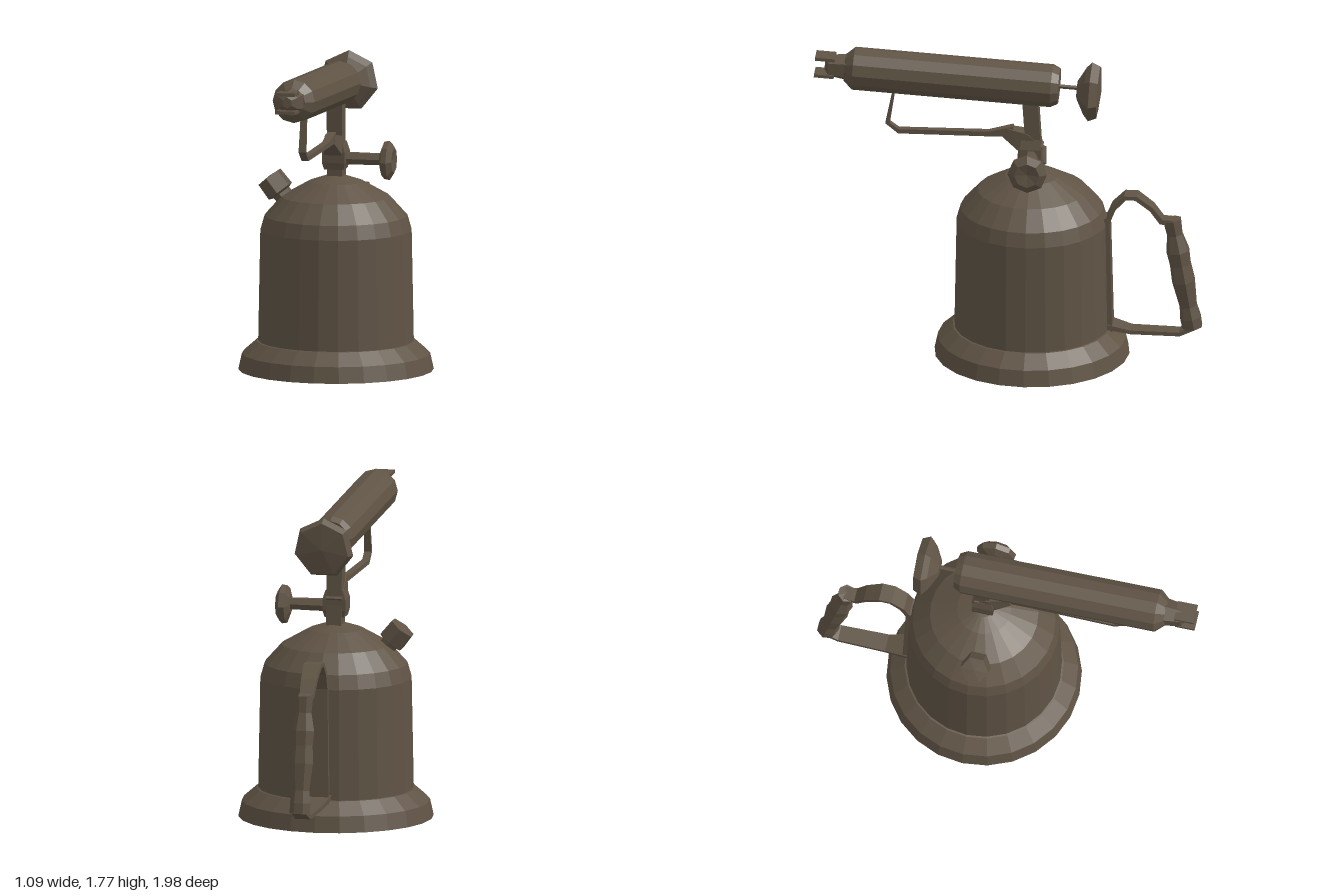
import * as THREE from 'three';

const agedBrass = new THREE.MeshStandardMaterial({ color: 0x5f5344 });
agedBrass.name = 'agedBrass';

// Mesh with one flat normal per face
function part(name, geometry) {
  const flat = geometry.index ? geometry.toNonIndexed() : geometry;
  flat.computeVertexNormals();
  const mesh = new THREE.Mesh(flat, agedBrass);
  mesh.name = name;
  return mesh;
}

// Turned part: profile of [radius, distance] pairs, running from a point along a direction
function turned(name, profile, sides, from = [0, 0, 0], dir = [0, 1, 0]) {
  const mesh = part(name, new THREE.LatheGeometry(profile.map(([r, d]) => new THREE.Vector2(r, d)), sides));
  mesh.position.set(...from);
  mesh.quaternion.setFromUnitVectors(new THREE.Vector3(0, 1, 0), new THREE.Vector3(...dir).normalize());
  return mesh;
}

// Bent bar in the middle plane: path of [y, z, width, thickness]
function strap(name, path) {
  const verts = [], index = [];
  path.forEach(([y, z, w, t], i) => {
    const a = path[Math.max(i - 1, 0)], b = path[Math.min(i + 1, path.length - 1)];
    const len = Math.hypot(b[0] - a[0], b[1] - a[1]);
    const ny = (b[1] - a[1]) / len * t / 2, nz = -(b[0] - a[0]) / len * t / 2;
    for (const [sx, sn] of [[-1, -1], [1, -1], [1, 1], [-1, 1]]) {
      verts.push(sx * w / 2, y + sn * ny, z + sn * nz);
    }
    if (i > 0) {
      for (let k = 0; k < 4; k++) {
        const p = (i - 1) * 4 + k, q = (i - 1) * 4 + (k + 1) % 4;
        index.push(p, q, q + 4, p, q + 4, p + 4);
      }
    }
  });
  const e = (path.length - 1) * 4;
  index.push(0, 2, 1, 0, 3, 2, e, e + 1, e + 2, e, e + 2, e + 3);
  const geometry = new THREE.BufferGeometry();
  geometry.setAttribute('position', new THREE.Float32BufferAttribute(verts, 3));
  geometry.setIndex(index);
  return part(name, geometry);
}

export function createModel() {
  const model = new THREE.Group();
  model.name = 'blowtorch';
  // The whole torch is turned so the burner points forward and to one side
  const torch = new THREE.Group();
  torch.name = 'torch';
  torch.position.set(0.01, 0, -0.13);
  torch.rotation.y = -0.43;
  model.add(torch);

  // Tank with flared foot and domed top
  torch.add(turned('base', [[0, 0], [0.54, 0], [0.52, 0.09], [0.44, 0.16], [0.41, 0.165]], 24));
  torch.add(turned('tank', [[0.43, 0.155], [0.418, 0.78], [0.395, 0.86], [0.3, 0.965],
    [0.15, 1.05], [0.06, 1.08], [0, 1.085]], 24));

  // Filler cap on the shoulder
  torch.add(turned('fillerCap', [[0.05, 0], [0.055, 0.1], [0.082, 0.11], [0.078, 0.21], [0, 0.215]], 6,
    [-0.24, 0.9, 0.03], [-0.62, 0.78, 0]));

  // Riser pipe and elbow carrying the burner
  torch.add(strap('column', [[1.04, -0.015, 0.085, 0.1], [1.3, -0.005, 0.085, 0.085], [1.53, 0.01, 0.09, 0.085]]));
  torch.add(strap('elbow', [[1.19, -0.03, 0.09, 0.1], [1.26, 0.05, 0.1, 0.11], [1.305, 0.15, 0.06, 0.055]]));
  torch.add(strap('valveBlock', [[1.12, 0.005, 0.11, 0.1], [1.16, 0.005, 0.13, 0.12],
    [1.22, 0.005, 0.13, 0.12], [1.27, 0.005, 0.1, 0.1]]));

  // Side valve
  torch.add(turned('valveStem', [[0, 0], [0.038, 0], [0.035, 0.27], [0, 0.27]], 6, [0, 1.18, 0], [1, 0, 0]));
  torch.add(turned('valveWheel', [[0, 0], [0.05, 0], [0.105, 0.02], [0.11, 0.05], [0.07, 0.075], [0, 0.06]], 8,
    [0.255, 1.175, 0], [1, 0, 0]));

  // Burner, built pointing along its own +z from its rear end
  const burner = new THREE.Group();
  burner.name = 'burner';
  burner.position.set(-0.005, 1.58, -0.15);
  burner.rotation.x = -0.058;
  torch.add(burner);
  const forward = [0, 0, 1];
  burner.add(turned('barrel', [[0, 0], [0.1, 0], [0.12, 0.04], [0.12, 1.14], [0.075, 1.19], [0, 1.19]], 12,
    [0, 0, 0], forward));
  burner.add(turned('nozzle', [[0.08, 0], [0.062, 0.11], [0.03, 0.13], [0, 0.13]], 6, [0, 0.005, 1.17], forward));
  // Forked tip, open at the sides
  for (const side of [-1, 1]) {
    const prong = part('nozzleProng', new THREE.BoxGeometry(0.11, 0.018, 0.11));
    prong.position.set(0, 0.006 + side * 0.05, 1.3);
    burner.add(prong);
  }

  // Rear adjusting wheel
  burner.add(turned('wheelSpindle', [[0, 0], [0.012, 0], [0.012, 0.15], [0, 0.15]], 5, [0, 0, 0.01], [0, 0, -1]));
  burner.add(turned('rearWheel', [[0, 0], [0.05, 0], [0.135, 0.045], [0.17, 0.075], [0.15, 0.12], [0, 0.135]], 7,
    [0, -0.01, -0.1], [0, 0, -1]));

  // Support rod under the barrel
  torch.add(strap('burnerSupport', [[1.31, 0.1, 0.05, 0.06], [1.29, 0.24, 0.04, 0.028], [1.288, 0.74, 0.04, 0.025],
    [1.335, 0.8, 0.04, 0.025], [1.53, 0.765, 0.035, 0.015]]));

  // Rear handle: mounting plate, two straps and a turned grip
  torch.add(strap('handlePlate', [[0.14, -0.435, 0.12, 0.03], [0.82, -0.418, 0.1, 0.03]]));
  torch.add(strap('upperStrap', [[0.77, -0.41, 0.1, 0.03], [0.88, -0.455, 0.1, 0.028], [0.945, -0.52, 0.1, 0.025],
    [0.945, -0.58, 0.1, 0.025], [0.88, -0.665, 0.09, 0.025], [0.805, -0.72, 0.08, 0.03], [0.8, -0.79, 0.07, 0.03]]));
  torch.add(strap('lowerStrap', [[0.18, -0.41, 0.14, 0.03], [0.145, -0.55, 0.1, 0.022],
    [0.14, -0.82, 0.09, 0.022], [0.19, -0.92, 0.08, 0.03]]));
  torch.add(turned('grip', [[0, 0], [0.058, 0], [0.06, 0.06], [0.05, 0.13], [0.066, 0.28], [0.06, 0.38],
    [0.066, 0.46], [0.045, 0.56], [0.052, 0.65], [0, 0.655]], 7, [0, 0.17, -0.89], [0, 0.65, 0.115]));

  return model;
}
